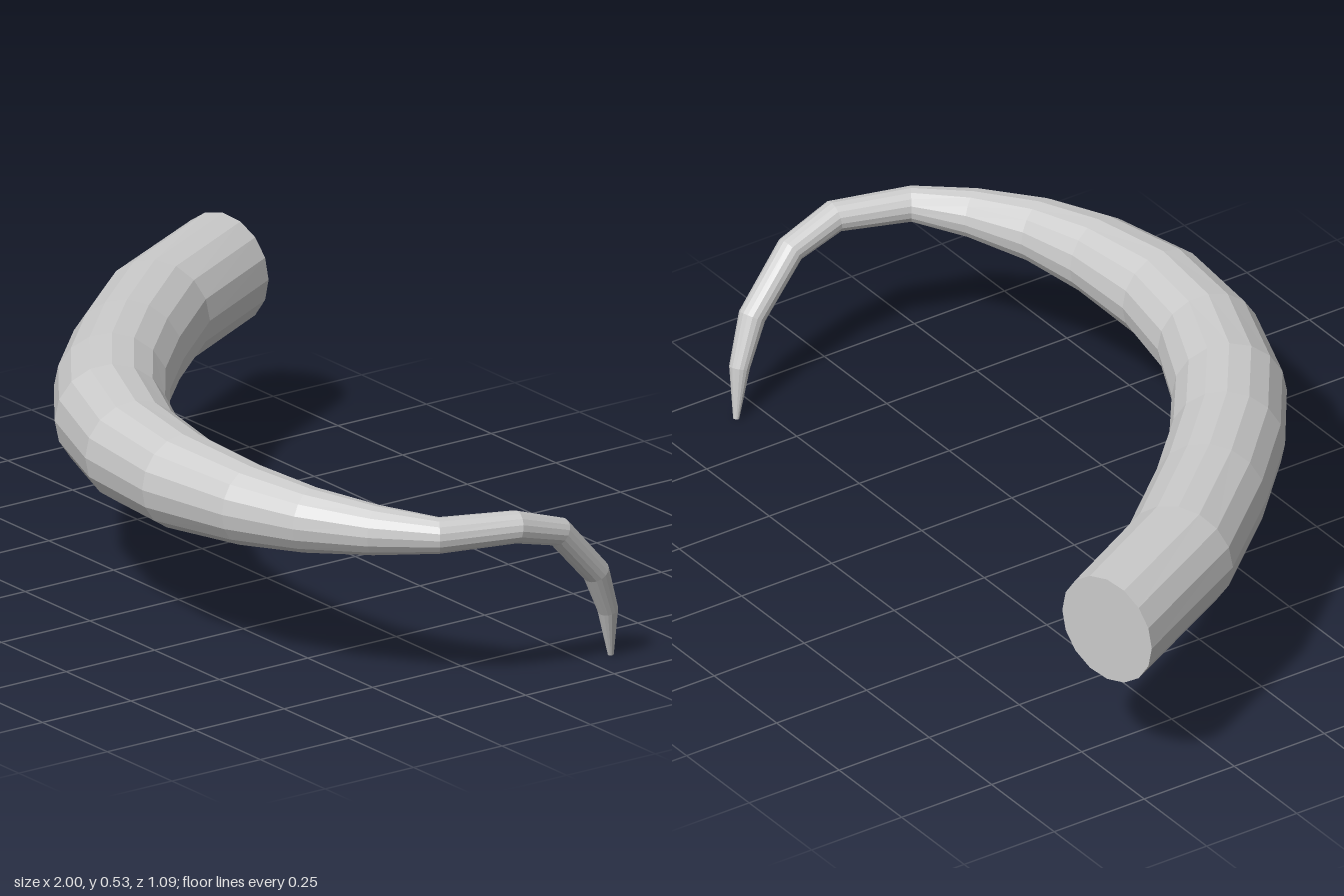
import * as THREE from 'three';

const SIDES = 16;

// Spine stations from the thick root to the thin tip: x, y, z, radius
const STATIONS = [
  [-0.873, 0.397, -0.515, 0.133],
  [-0.705, 0.397, -0.2, 0.133],
  [-0.52, 0.397, 0.015, 0.133],
  [-0.355, 0.397, 0.178, 0.133],
  [-0.185, 0.397, 0.302, 0.132],
  [0.03, 0.397, 0.393, 0.123],
  [0.255, 0.397, 0.425, 0.113],
  [0.48, 0.397, 0.4, 0.094],
  [0.645, 0.397, 0.35, 0.076],
  [0.79, 0.397, 0.27, 0.058],
  [0.905, 0.397, 0.175, 0.042],
  [0.96, 0.397, 0, 0.038],
  [0.952, 0.357, -0.128, 0.034],
  [0.932, 0.23, -0.248, 0.032],
  [0.91, 0.122, -0.298, 0.024],
  [0.89, 0.003, -0.321, 0.007],
];

// Tapered tube with capped ends, its rings carried along the spine without twist
function taperedTube(stations, sides, rootDirection) {
  const centres = stations.map(([x, y, z]) => new THREE.Vector3(x, y, z));
  const last = centres.length - 1;
  const step = (i) => centres[i + 1].clone().sub(centres[i]).normalize();
  const up = new THREE.Vector3(0, 1, 0);
  const positions = [];
  const index = [];

  centres.forEach((centre, i) => {
    const tangent = i === 0 ? rootDirection.clone().normalize()
      : i === last ? step(last - 1)
      : step(i - 1).add(step(i)).normalize();
    up.addScaledVector(tangent, -up.dot(tangent)).normalize();
    const side = new THREE.Vector3().crossVectors(tangent, up);
    for (let j = 0; j < sides; j++) {
      const a = (j / sides) * Math.PI * 2;
      const p = centre.clone()
        .addScaledVector(up, Math.cos(a) * stations[i][3])
        .addScaledVector(side, Math.sin(a) * stations[i][3]);
      positions.push(p.x, p.y, p.z);
    }
  });

  const rootCentre = positions.length / 3;
  positions.push(...centres[0].toArray(), ...centres[last].toArray());
  for (let j = 0; j < sides; j++) {
    const k = (j + 1) % sides;
    for (let i = 0; i < last; i++) {
      const a = i * sides + j, b = i * sides + k;
      index.push(a, b, a + sides, b, b + sides, a + sides);
    }
    index.push(rootCentre, k, j);
    index.push(rootCentre + 1, last * sides + j, last * sides + k);
  }

  const geometry = new THREE.BufferGeometry();
  geometry.setAttribute('position', new THREE.Float32BufferAttribute(positions, 3));
  geometry.setIndex(index);
  const faceted = geometry.toNonIndexed();
  faceted.computeVertexNormals();
  return faceted;
}

export function createModel() {
  const group = new THREE.Group();
  group.name = 'curvedTail';
  const material = new THREE.MeshStandardMaterial({ color: 0xcccccc, flatShading: true });

  // Tail sweeping in a wide arc, ending in a downward hook
  const tail = new THREE.Mesh(
    taperedTube(STATIONS, SIDES, new THREE.Vector3(0.07, 0, 0.255)), material);
  tail.name = 'tail';
  group.add(tail);
  return group;
}
